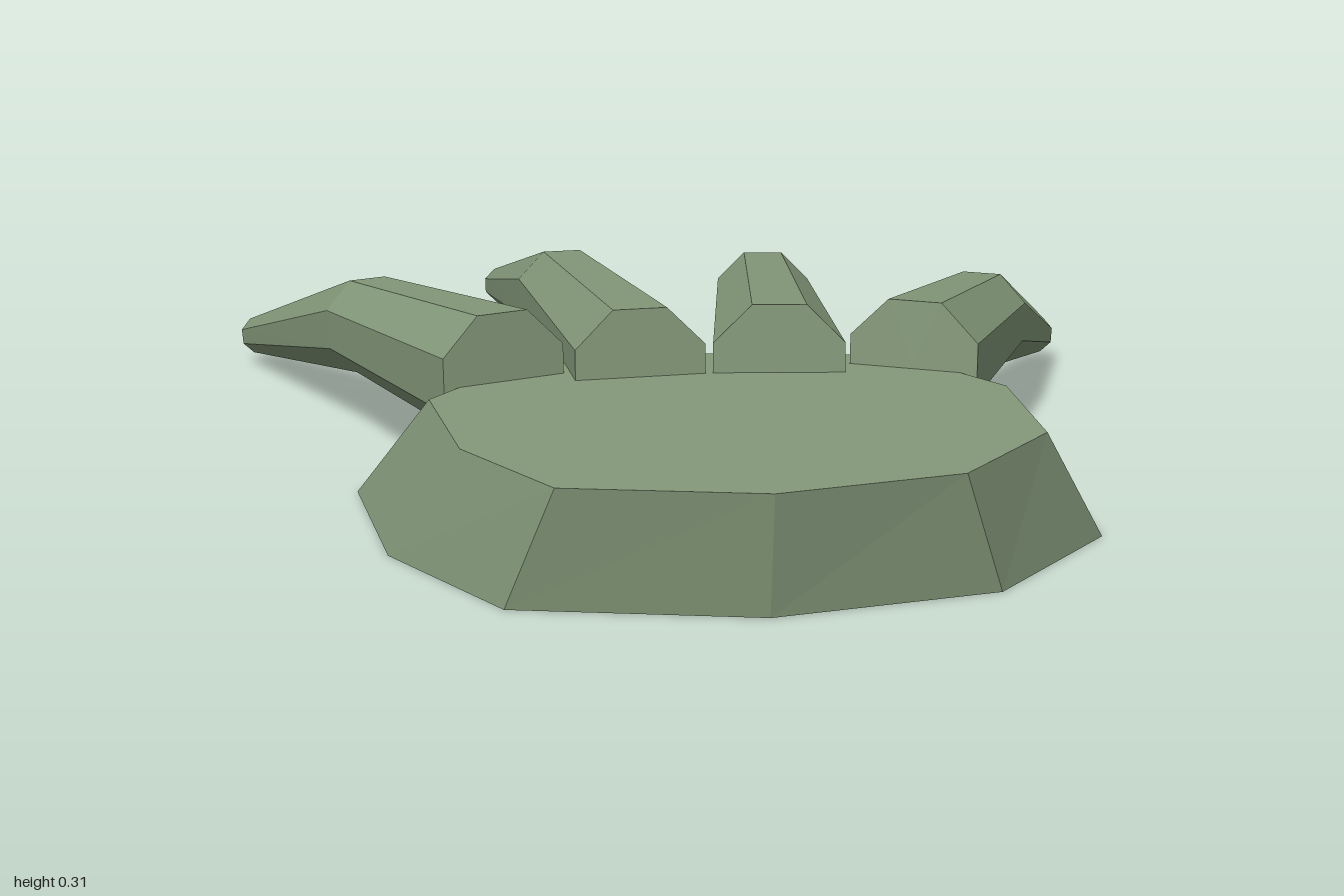
import * as THREE from 'three';

// Skins a list of closed rings (each counter-clockwise about the direction of travel) and caps both ends.
function loft(rings) {
  const pos = [];
  const tri = (...pts) => pts.forEach((p) => pos.push(p.x, p.y, p.z));
  const n = rings[0].length;
  const centre = (ring) =>
    ring.reduce((sum, p) => sum.add(p), new THREE.Vector3()).divideScalar(n);
  const first = rings[0];
  const last = rings[rings.length - 1];
  const c0 = centre(first);
  const c1 = centre(last);
  for (let i = 0; i < n; i++) {
    const j = (i + 1) % n;
    for (let k = 0; k < rings.length - 1; k++) {
      const a = rings[k];
      const b = rings[k + 1];
      tri(a[i], a[j], b[j]);
      tri(a[i], b[j], b[i]);
    }
    tri(c0, first[j], first[i]);
    tri(c1, last[i], last[j]);
  }
  const geometry = new THREE.BufferGeometry();
  geometry.setAttribute('position', new THREE.Float32BufferAttribute(pos, 3));
  geometry.computeVertexNormals();
  return geometry;
}

// Octagonal ring with a flat top, square to direction t
function octagon(center, t, r) {
  const u = new THREE.Vector3(0, 1, 0).cross(t).normalize();
  const v = t.clone().cross(u);
  return Array.from({ length: 8 }, (_, i) => {
    const a = ((i + 0.5) * Math.PI) / 4;
    return center.clone()
      .addScaledVector(u, r * Math.cos(a))
      .addScaledVector(v, r * Math.sin(a));
  });
}

// Tapered digit with a single bend halfway along
function digitGeometry([bx, bz], [tx, tz]) {
  const base = new THREE.Vector3(bx, 0.2, bz);
  const mid = new THREE.Vector3((bx + tx) / 2, 0.18, (bz + tz) / 2);
  const tip = new THREE.Vector3(tx, 0.052, tz);
  const d0 = mid.clone().sub(base).normalize();
  const d1 = tip.clone().sub(mid).normalize();
  const dm = d0.clone().add(d1).normalize();
  return loft([octagon(base, d0, 0.115), octagon(mid, dm, 0.086), octagon(tip, d1, 0.034)]);
}

export function createModel() {
  const group = new THREE.Group();
  const skin = new THREE.MeshStandardMaterial({ color: 0x84997a, flatShading: true });
  skin.name = 'sage green skin';

  const add = (name, geometry) => {
    const mesh = new THREE.Mesh(geometry, skin);
    mesh.name = name;
    group.add(mesh);
  };

  // Palm: ten-sided slab, wider at the sole, outlines as [x, z] from the front corner round
  const sole = [[0, 0.965], [0.355, 0.89], [0.568, 0.64], [0.568, 0.27], [0.43, -0.055],
    [0.05, -0.055], [-0.3, 0], [-0.565, 0.25], [-0.53, 0.6], [-0.375, 0.88]];
  const top = [[0, 1], [0.29, 0.932], [0.455, 0.73], [0.455, 0.45], [0.32, 0.23],
    [0, 0.18], [-0.31, 0.23], [-0.455, 0.42], [-0.425, 0.71], [-0.305, 0.932]];
  const level = (outline, y) => outline.map(([x, z]) => new THREE.Vector3(x, y, z));
  add('palm', loft([level(sole, 0), level(top, 0.195)]));

  // Four digits: base and tip as [x, z]
  const digits = [
    ['rightOuterDigit', [-0.33, 0.322], [-0.72, -0.635]],
    ['rightInnerDigit', [-0.112, 0.322], [-0.24, -0.998]],
    ['leftInnerDigit', [0.112, 0.322], [0.24, -0.88]],
    ['leftOuterDigit', [0.33, 0.325], [0.718, -0.457]],
  ];
  digits.forEach(([name, base, tip]) => add(name, digitGeometry(base, tip)));

  return group;
}
